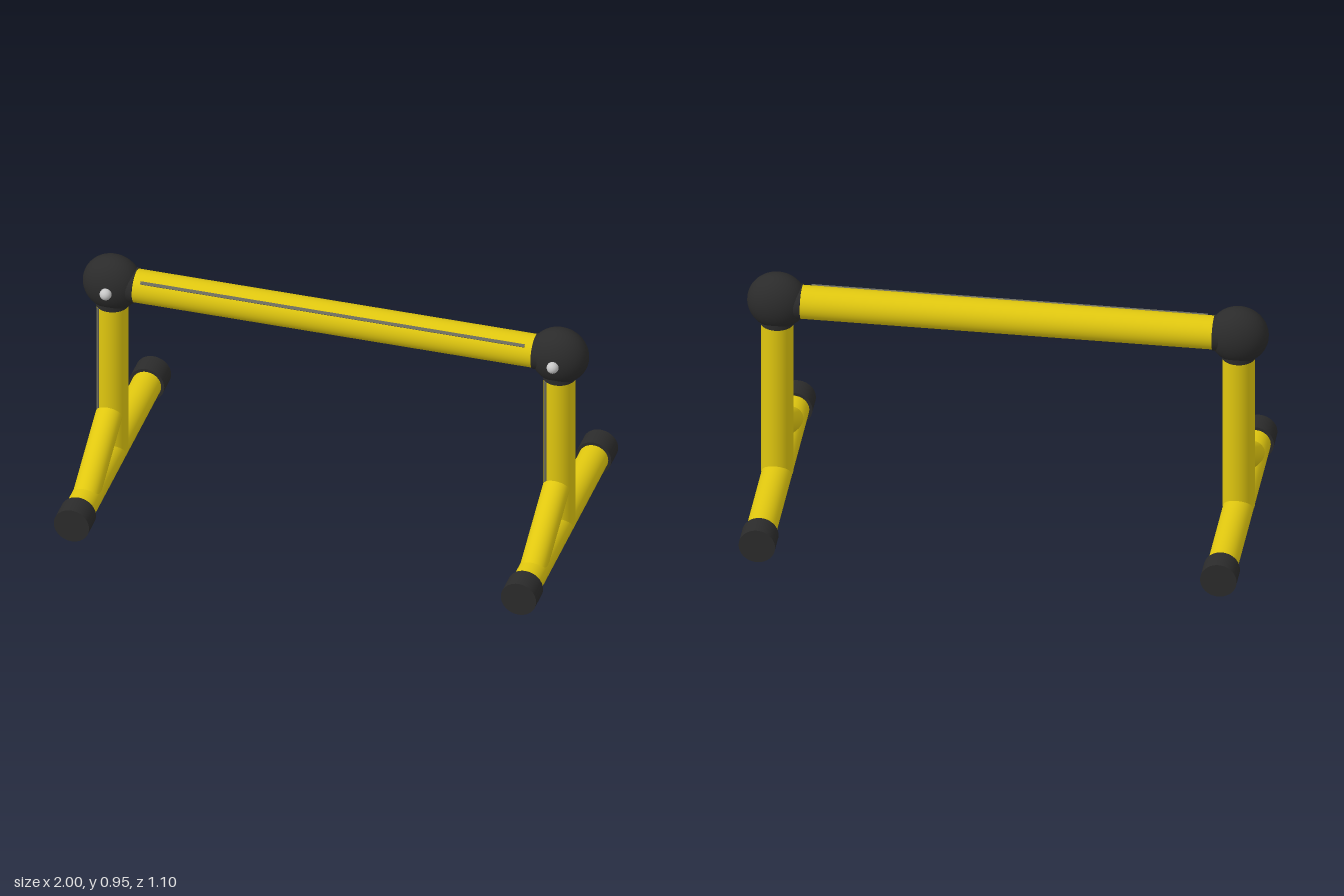
import * as THREE from 'three';

const mat = (name, color) => {
  const m = new THREE.MeshStandardMaterial({ color });
  m.name = name;
  return m;
};

export function createModel() {
  const yellow = mat('yellow paint', 0xe0c70f);
  const black = mat('black rubber', 0x2b2b2b);
  const steel = mat('bright steel', 0xc8c8c8);
  const grey = mat('grey seam', 0x6b6b5c);
  const model = new THREE.Group();
  model.name = 'parallelBarStand';

  const add = (parent, name, geometry, material, x = 0, y = 0, z = 0) => {
    const mesh = new THREE.Mesh(geometry, material);
    mesh.name = name;
    mesh.position.set(x, y, z);
    parent.add(mesh);
    return mesh;
  };

  // Round tube between two points
  const tube = (parent, name, from, to, radius, material) => {
    const a = new THREE.Vector3(...from);
    const b = new THREE.Vector3(...to);
    const dir = b.clone().sub(a);
    const mesh = add(parent, name, new THREE.CylinderGeometry(radius, radius, dir.length(), 40), material);
    mesh.position.copy(a).add(b).multiplyScalar(0.5);
    mesh.quaternion.setFromUnitVectors(new THREE.Vector3(0, 1, 0), dir.normalize());
    return mesh;
  };

  const X = 0.885, Y = 0.837, BASE = 0.073;

  // Handle bar with its seam strip
  tube(model, 'handleBar', [-X, Y, 0], [X, Y, 0], 0.065, yellow);
  const seam = add(model, 'handleSeam', new THREE.BoxGeometry(1.52, 0.012, 0.008), grey, 0, Y + 0.047, 0.047);
  seam.rotation.x = -Math.PI / 4;

  for (const side of [-1, 1]) {
    const leg = new THREE.Group();
    leg.name = side > 0 ? 'leftLeg' : 'rightLeg';
    leg.position.x = side * X;
    model.add(leg);

    // Upright, foot tube and slanted brace
    tube(leg, 'upright', [0, BASE, 0], [0, Y, 0], 0.061, yellow);
    tube(leg, 'footTube', [0, BASE, -0.5], [0, BASE, 0.5], 0.058, yellow);
    tube(leg, 'brace', [0, 0.26, 0.044], [0, 0.08, 0.364], 0.052, yellow);
    const strip = add(leg, 'uprightSeam', new THREE.BoxGeometry(0.012, 0.605, 0.008), grey, -0.043, 0.4325, 0.043);
    strip.rotation.y = -Math.PI / 4;

    // Rubber end caps
    for (const end of [-1, 1]) {
      tube(leg, end > 0 ? 'frontCap' : 'backCap',
        [0, BASE, end * 0.457], [0, BASE, end * 0.55], 0.07, black);
    }

    // Corner joint: flattened ball with sockets for the two tubes
    const ball = add(leg, 'cornerJoint', new THREE.SphereGeometry(1, 40, 28), black, 0, Y, 0);
    ball.scale.set(0.115, 0.115, 0.087);
    tube(leg, 'barSocket', [0, Y, 0], [-side * 0.095, Y, 0], 0.069, black);
    tube(leg, 'uprightSocket', [0, Y, 0], [0, 0.738, 0], 0.064, black);

    // Screw head on the front of the joint
    add(leg, 'screwHead', new THREE.SphereGeometry(0.023, 20, 14), steel, 0, Y, 0.092);
  }
  return model;
}
